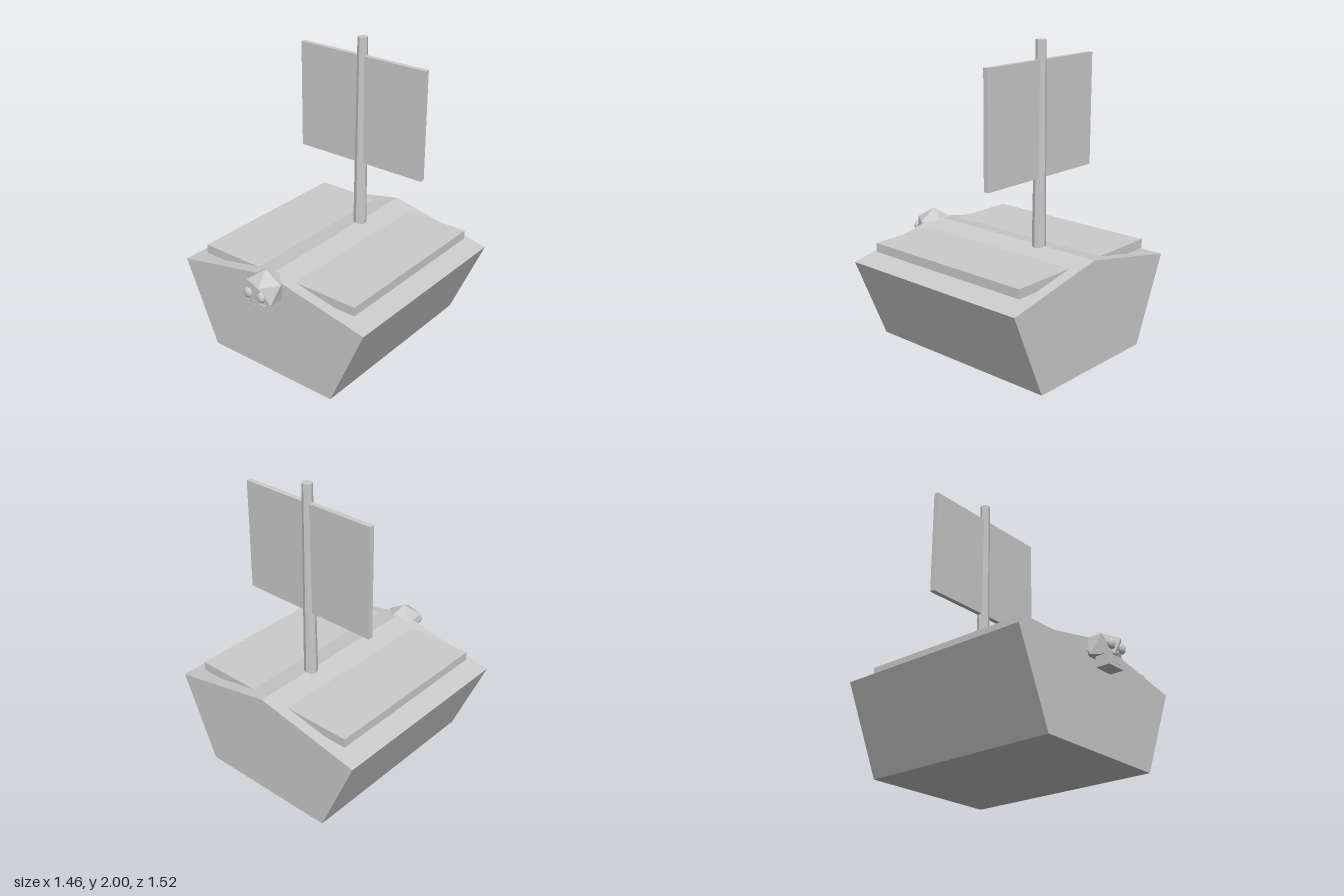
import * as THREE from 'three';

export function createModel() {
  const model = new THREE.Group();
  const grey = new THREE.MeshStandardMaterial({ color: 0xcccccc, flatShading: true });
  grey.name = 'plain grey';

  const add = (name, geometry, x = 0, y = 0, z = 0, parent = model) => {
    const mesh = new THREE.Mesh(geometry, grey);
    mesh.name = name;
    mesh.position.set(x, y, z);
    parent.add(mesh);
    return mesh;
  };
  const box = (w, h, d) => new THREE.BoxGeometry(w, h, d);

  // Hull: flared sides and a shallow ridged top, extruded from stern to bow
  const section = new THREE.Shape([
    [-0.485, 0], [0.485, 0], [0.73, 0.565], [0, 0.71], [-0.73, 0.565],
  ].map(([x, y]) => new THREE.Vector2(x, y)));
  add('hull', new THREE.ExtrudeGeometry(section, { depth: 1.367, bevelEnabled: false }), 0, 0, -0.761);

  // Deck slab, with the hull's ridge rising through it
  add('deck', box(1.214, 0.06, 1.22), 0, 0.65, -0.078);

  // Mast and sail
  add('mast', new THREE.CylinderGeometry(0.033, 0.045, 1.3, 8), 0, 1.35, -0.322);
  add('sail', box(0.972, 0.73, 0.034), 0, 1.515, -0.322);

  // Skull figurehead at the bow
  const skull = new THREE.Group();
  skull.name = 'skullFigurehead';
  skull.position.set(0, 0.63, 0.63);
  model.add(skull);

  // Cranium: faceted dome over two staggered rings of five, with a flat base
  const R = 0.134, ringR = R * 0.8944, ringY = R * 0.4472;
  const ring = (y, offset) => Array.from({ length: 5 }, (_, i) => {
    const a = offset + (i * Math.PI * 2) / 5;
    return [ringR * Math.cos(a), y, -ringR * Math.sin(a)];
  });
  const upper = ring(ringY, 0), lower = ring(-ringY, Math.PI / 5);
  const corners = [];
  for (let i = 0; i < 5; i++) {
    const j = (i + 1) % 5;
    corners.push(upper[i], upper[j], [0, R, 0]);
    corners.push(upper[i], lower[i], upper[j]);
    corners.push(lower[i], lower[j], upper[j]);
    corners.push(lower[j], lower[i], [0, -ringY, 0]);
  }
  const cranium = new THREE.BufferGeometry();
  cranium.setAttribute('position', new THREE.Float32BufferAttribute(corners.flat(), 3));
  cranium.computeVertexNormals();
  add('cranium', cranium, 0, 0, 0, skull);

  // Bulging eyes
  for (const side of [-1, 1]) {
    const eye = add(side > 0 ? 'leftEye' : 'rightEye',
      new THREE.IcosahedronGeometry(1, 1), side * 0.052, 0, 0.106, skull);
    eye.scale.set(0.03, 0.035, 0.02);
  }

  // Nose, jaw and teeth
  add('nose', box(0.014, 0.016, 0.02), 0, -0.042, 0.107, skull);
  add('jaw', box(0.142, 0.072, 0.095), 0, -0.094, 0.052, skull);
  for (const x of [-0.03, 0, 0.03]) {
    add('tooth', box(0.014, 0.035, 0.006), x, -0.088, 0.1, skull);
  }

  return model;
}
